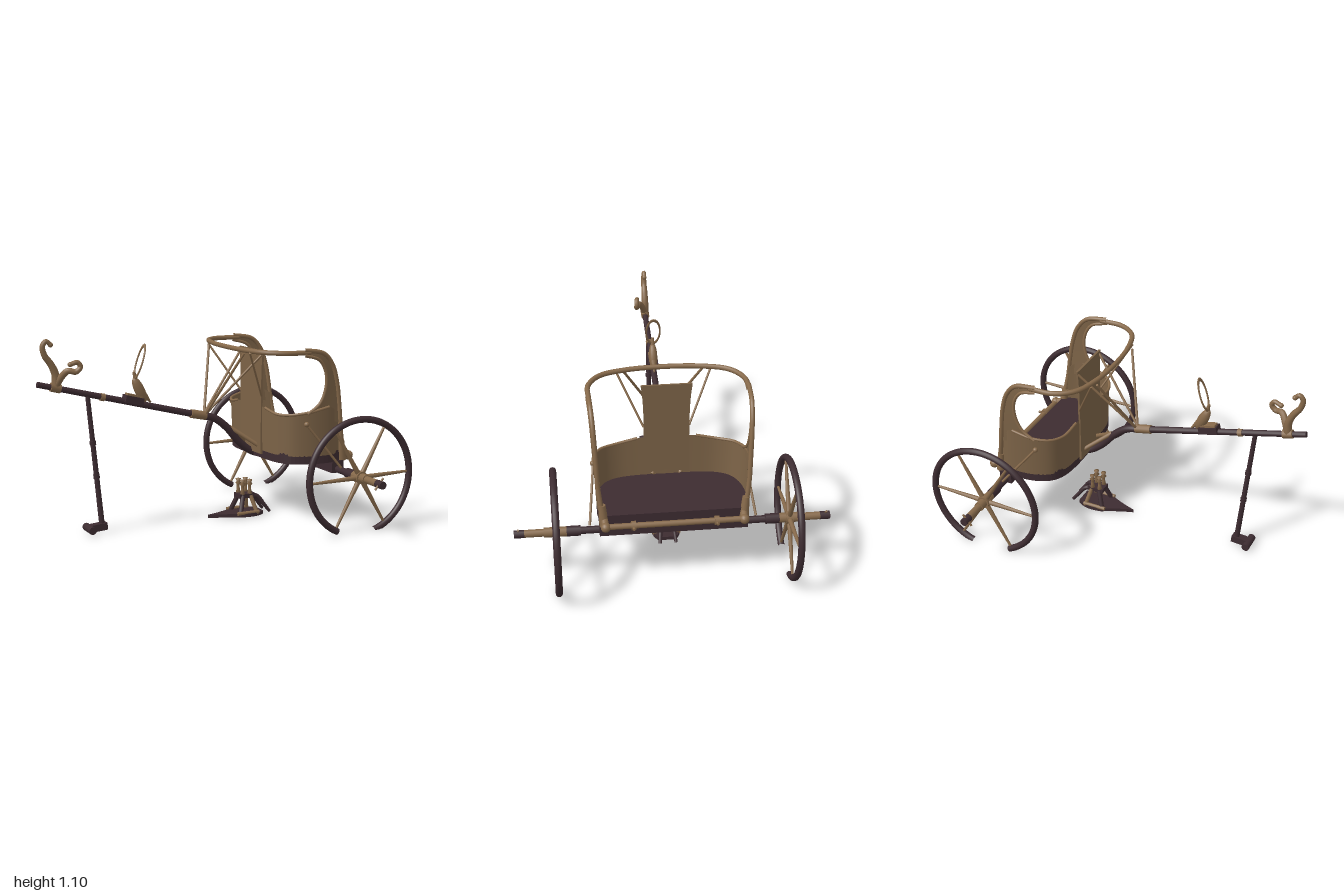
import * as THREE from 'three';

const V = (p) => new THREE.Vector3(...p);
const mat = (name, color, side = THREE.FrontSide) => {
  const m = new THREE.MeshStandardMaterial({ color, side });
  m.name = name;
  return m;
};

export function createModel() {
  const root = new THREE.Group();
  root.name = 'chariot';
  const dark = mat('darkWood', 0x3d2c31);
  const tan = mat('tanWood', 0x86694a);
  const hide = mat('hide', 0x7c6347, THREE.DoubleSide);

  const add = (name, geo, m, parent = root) => {
    const mesh = new THREE.Mesh(geo, m);
    mesh.name = name;
    parent.add(mesh);
    return mesh;
  };
  const box = (name, m, size, pos, rz = 0) => {
    const b = add(name, new THREE.BoxGeometry(...size), m);
    b.position.set(...pos);
    b.rotation.z = rz;
    return b;
  };
  const ball = (name, m, r, pos, scale = [1, 1, 1]) => {
    const b = add(name, new THREE.SphereGeometry(r, 14, 10), m);
    b.position.set(...pos);
    b.scale.set(...scale);
    return b;
  };
  // straight round bar between two points
  const rod = (name, m, a, b, r0, r1 = r0, parent = root) => {
    const A = V(a), B = V(b), d = B.clone().sub(A);
    const c = add(name, new THREE.CylinderGeometry(r1, r0, d.length(), 12), m, parent);
    c.position.copy(A).add(B).multiplyScalar(0.5);
    c.quaternion.setFromUnitVectors(new THREE.Vector3(0, 1, 0), d.normalize());
    return c;
  };
  // bent bar, tapering from r0 to r1
  const bent = (name, m, pts, r0, r1 = r0) => {
    const curve = new THREE.CatmullRomCurve3(pts.map(V)), n = 40, k = 10;
    const g = new THREE.TubeGeometry(curve, n, r0, k);
    const p = g.attributes.position, v = new THREE.Vector3();
    for (let i = 0; i < p.count; i++) {
      const t = Math.floor(i / (k + 1)) / n, c = curve.getPointAt(t);
      v.fromBufferAttribute(p, i).sub(c).multiplyScalar(1 + t * (r1 / r0 - 1)).add(c);
      p.setXYZ(i, v.x, v.y, v.z);
    }
    return add(name, g, m);
  };
  // sheet spanning two curves
  const sheet = (name, a, b) => {
    const A = new THREE.CatmullRomCurve3(a.map(V)), B = new THREE.CatmullRomCurve3(b.map(V));
    const n = 36, pos = [], idx = [];
    for (let i = 0; i <= n; i++) {
      pos.push(...A.getPoint(i / n).toArray(), ...B.getPoint(i / n).toArray());
      if (i < n) idx.push(2 * i, 2 * i + 2, 2 * i + 1, 2 * i + 1, 2 * i + 2, 2 * i + 3);
    }
    const g = new THREE.BufferGeometry();
    g.setAttribute('position', new THREE.Float32BufferAttribute(pos, 3));
    g.setIndex(idx);
    g.computeVertexNormals();
    return add(name, g, hide);
  };

  // D-shaped floor
  const plan = [[0.31, 0], [0.31, 0.15], [0.325, 0.27], [0.37, 0.35], [0.46, 0.395], [0.58, 0.405], [0.69, 0.38]];
  const outline = [...plan.slice().reverse(), ...plan.slice(1).map(([x, z]) => [x, -z])];
  const soft = new THREE.SplineCurve(outline.map((p) => new THREE.Vector2(...p))).getPoints(48);
  const floor = add('floor', new THREE.ExtrudeGeometry(new THREE.Shape(soft), { depth: 0.065, bevelEnabled: false }), dark);
  floor.rotation.x = -Math.PI / 2;
  floor.position.y = 0.355;
  box('axleBed', dark, [0.075, 0.07, 0.8], [0.65, 0.325, 0]);

  // front panel, flaring at the top
  const panel = new THREE.BoxGeometry(0.012, 0.6, 0.25, 1, 12, 1);
  const pp = panel.attributes.position;
  for (let i = 0; i < pp.count; i++) pp.setZ(i, pp.getZ(i) * (1 + 0.12 * Math.max(0, pp.getY(i) / 0.3) ** 3));
  add('frontPanel', panel, hide).position.set(0.303, 0.68, 0);

  for (const s of [-1, 1]) {
    // curved body wall and the horn rising from its rear corner
    const base = plan.map(([x, z]) => [x, 0.4, s * z]);
    const topY = [0.66, 0.655, 0.635, 0.64, 0.655, 0.68, 0.64];
    const rim = plan.map(([x, z], i) => [i === 6 ? 0.652 : x - 0.005, topY[i], s * (z ? z + 0.012 : 0)]);
    sheet('bodyWall', base, rim);
    bent('wallRim', tan, rim.slice(1, 6), 0.008);
    const outer = [[0.66, 0.58], [0.645, 0.7], [0.625, 0.82], [0.59, 0.92], [0.53, 0.985], [0.4, 1.01]];
    const inner = [[0.44, 0.645], [0.515, 0.7], [0.55, 0.79], [0.545, 0.88], [0.5, 0.95], [0.4, 0.982]];
    const at = (l, d) => l.map(([x, y], i) => [x, y, s * (0.402 + i * 0.005 + d)]);
    sheet('rearHorn', at(outer, 0), at(inner, 0.005));
    bent('hornOuterEdge', tan, [[0.69, 0.4, s * 0.38], ...at(outer, 0)], 0.013);
    bent('hornInnerEdge', tan, at(inner, 0.005), 0.009);

    // struts from the pole up to the rail and the panel
    rod('railStrut', tan, [0, 0.62, s * 0.01], [0.135, 0.985, s * 0.22], 0.008, 0.007);
    rod('panelStrut', tan, [0, 0.62, s * 0.01], [0.3, 0.96, s * 0.13], 0.007);
    rod('railBrace', tan, [0.15, 0.99, s * 0.26], [0.3, 0.72, s * 0.125], 0.006);
    rod('floorStrut', tan, [0.16, 0.53, 0], [0.31, 0.42, s * 0.08], 0.012);
    rod('sideBrace', tan, [0.43, 0.59, s * 0.412], [0.64, 0.33, s * 0.45], 0.007);
    ball('braceKnob', tan, 0.015, [0.43, 0.59, s * 0.415]);

    // rear corner fittings
    rod('cornerPost', tan, [0.69, 0.36, s * 0.375], [0.675, 0.48, s * 0.385], 0.026, 0.02);
    rod('barArm', tan, [0.68, 0.4, s * 0.375], [0.735, 0.38, s * 0.37], 0.02);
    ball('barEnd', tan, 0.027, [0.738, 0.38, s * 0.37]);
    rod('barRing', tan, [0.735, 0.38, s * 0.21], [0.735, 0.38, s * 0.235], 0.025);
    rod('barPeg', tan, [0.735, 0.38, s * 0.222], [0.775, 0.38, s * 0.222], 0.007);

    // axle arm, collars and linchpin
    rod('axleCollar', dark, [0.65, 0.31, s * 0.5], [0.65, 0.31, s * 0.575], 0.028);
    rod('axleArm', tan, [0.65, 0.31, s * 0.67], [0.65, 0.31, s * 0.8], 0.021);
    rod('axleTip', dark, [0.65, 0.31, s * 0.8], [0.65, 0.31, s * 0.855], 0.022);
    rod('linchpin', tan, [0.615, 0.285, s * 0.832], [0.665, 0.345, s * 0.832], 0.006);

    // wheel: broken rim, hub and six spokes
    const wheel = new THREE.Group();
    wheel.name = 'wheel';
    wheel.position.set(0.65, 0.31, s * 0.632);
    root.add(wheel);
    const start = -1.27;
    const ring = new THREE.TorusGeometry(0.327, 0.019, 12, 72, 4.26 - start);
    ring.rotateZ(start);
    const rp = ring.attributes.position;
    for (let i = 0; i < rp.count; i++) rp.setY(i, Math.max(rp.getY(i), -0.31));
    add('wheelRim', ring, dark, wheel);
    rod('hub', tan, [0, 0, -0.065], [0, 0, 0.065], 0.027, 0.027, wheel);
    rod('hubBand', tan, [0, 0, -0.02], [0, 0, 0.02], 0.036, 0.036, wheel);
    for (let i = 0; i < 6; i++) {
      const a = (i * Math.PI) / 3 + 0.02, c = Math.cos(a), d = Math.sin(a);
      const len = d < -0.5 ? 0.322 : 0.318;
      rod('spoke', tan, [0, 0, 0], [c * len, d * len, 0], 0.015, 0.007, wheel);
    }
  }
  rod('axle', dark, [0.65, 0.31, -0.8], [0.65, 0.31, 0.8], 0.02);
  rod('rearBar', tan, [0.735, 0.38, -0.37], [0.735, 0.38, 0.37], 0.016);

  // top rail
  bent('topRail', tan, [[0.44, 0.995, -0.425], [0.3, 0.998, -0.42], [0.2, 1, -0.35], [0.15, 1, -0.2], [0.135, 1, 0],
    [0.15, 1, 0.2], [0.2, 1, 0.35], [0.3, 0.998, 0.42], [0.44, 0.995, 0.425]], 0.014);

  // draught pole
  rod('pole', dark, [-1, 0.855, 0], [-0.05, 0.618, 0], 0.016, 0.019);
  rod('poleFerrule', tan, [-0.09, 0.628, 0], [0.005, 0.608, 0], 0.025);
  bent('poleBend', dark, [[-0.02, 0.612, 0], [0.06, 0.59, 0], [0.14, 0.53, 0], [0.23, 0.43, 0], [0.33, 0.365, 0], [0.64, 0.34, 0]], 0.022);
  rod('poleBand', tan, [-0.64, 0.764, 0], [-0.615, 0.758, 0], 0.021);

  // yoke hooks at the pole tip
  rod('hookCollar', tan, [-0.925, 0.838, 0], [-0.87, 0.824, 0], 0.025);
  bent('tallHook', tan, [[-0.895, 0.83, 0], [-0.895, 0.9, 0], [-0.92, 0.96, 0], [-0.955, 1.01, 0], [-0.965, 1.06, 0],
    [-0.945, 1.085, 0], [-0.92, 1.065, 0]], 0.024, 0.012);
  ball('tallHookTip', tan, 0.014, [-0.92, 1.065, 0]);
  bent('sideHook', tan, [[-0.895, 0.84, 0], [-0.87, 0.89, 0.02], [-0.84, 0.925, 0.045], [-0.8, 0.92, 0.06], [-0.775, 0.945, 0.062],
    [-0.79, 0.97, 0.06], [-0.83, 0.96, 0.055]], 0.021, 0.012);
  ball('sideHookTip', tan, 0.014, [-0.83, 0.96, 0.055]);

  // leaf ornament with rein loop
  box('ornamentBase', dark, [0.11, 0.04, 0.06], [-0.445, 0.733, 0], -0.25);
  box('ornamentPlate', tan, [0.09, 0.012, 0.045], [-0.44, 0.757, 0], -0.25);
  const leaf = ball('ornamentLeaf', tan, 0.05, [-0.405, 0.785, 0], [0.6, 1.6, 0.5]);
  leaf.rotation.z = 0.45;
  rod('leafTail', tan, [-0.39, 0.77, 0], [-0.338, 0.712, 0], 0.022, 0.004);
  rod('leafNeck', tan, [-0.42, 0.8, 0], [-0.438, 0.89, 0], 0.018, 0.008);
  const loop = add('reinLoop', new THREE.TorusGeometry(0.04, 0.005, 8, 32), tan);
  loop.position.set(-0.403, 0.945, 0);
  loop.rotation.set(0, Math.PI / 2, 0);
  loop.scale.set(1, 2.3, 1);
  loop.rotation.order = 'ZYX';
  loop.rotation.z = -0.32;

  // prop stick and its foot
  rod('propStick', dark, [-0.715, 0.785, 0], [-0.64, 0.03, 0], 0.013, 0.016);
  for (const t of [0.35, 0.6]) {
    const at = (k) => [-0.715 + 0.075 * k, 0.785 - 0.755 * k, 0];
    rod('propBand', dark, at(t), at(t + 0.03), 0.018);
  }
  box('propFoot', dark, [0.1, 0.04, 0.045], [-0.665, 0.03, 0], 0.08);
  rod('propCrossbar', dark, [-0.715, 0.025, -0.055], [-0.715, 0.025, 0.055], 0.022);

  // small stand on the ground: leaf base, arched legs and turned posts
  const leafBase = new THREE.Shape();
  leafBase.moveTo(0.02, 0);
  leafBase.quadraticCurveTo(0.12, 0.03, 0.2, 0.075);
  leafBase.quadraticCurveTo(0.3, 0.1, 0.36, 0.05);
  leafBase.lineTo(0.36, -0.05);
  leafBase.quadraticCurveTo(0.3, -0.1, 0.2, -0.075);
  leafBase.quadraticCurveTo(0.12, -0.03, 0.02, 0);
  add('standBase', new THREE.ExtrudeGeometry(leafBase, { depth: 0.02, bevelEnabled: false }), dark).rotation.x = -Math.PI / 2;
  box('standTop', dark, [0.1, 0.025, 0.075], [0.26, 0.115, 0]);
  const post = new THREE.LatheGeometry([[0, 0], [0.014, 0], [0.009, 0.03], [0.009, 0.05], [0.017, 0.06],
    [0.009, 0.07], [0.016, 0.085], [0, 0.09]].map((p) => new THREE.Vector2(...p)), 12);
  for (const s of [-1, 1]) {
    bent('standTail', dark, [[0.28, 0.12, s * 0.02], [0.33, 0.105, s * 0.03], [0.37, 0.055, s * 0.04], [0.405, 0.01, s * 0.045]], 0.015, 0.009);
    rod('standFrontLeg', dark, [0.235, 0.115, s * 0.03], [0.2, 0.01, s * 0.065], 0.014);
    rod('standRearLeg', tan, [0.285, 0.115, s * 0.03], [0.31, 0.01, s * 0.07], 0.012);
    rod('standFoot', tan, [0.18, 0.022, s * 0.07], [0.32, 0.022, s * 0.07], 0.011);
    for (const x of [0.233, 0.28]) add('standPost', post, tan).position.set(x, 0.125, s * 0.027);
  }
  return root;
}
